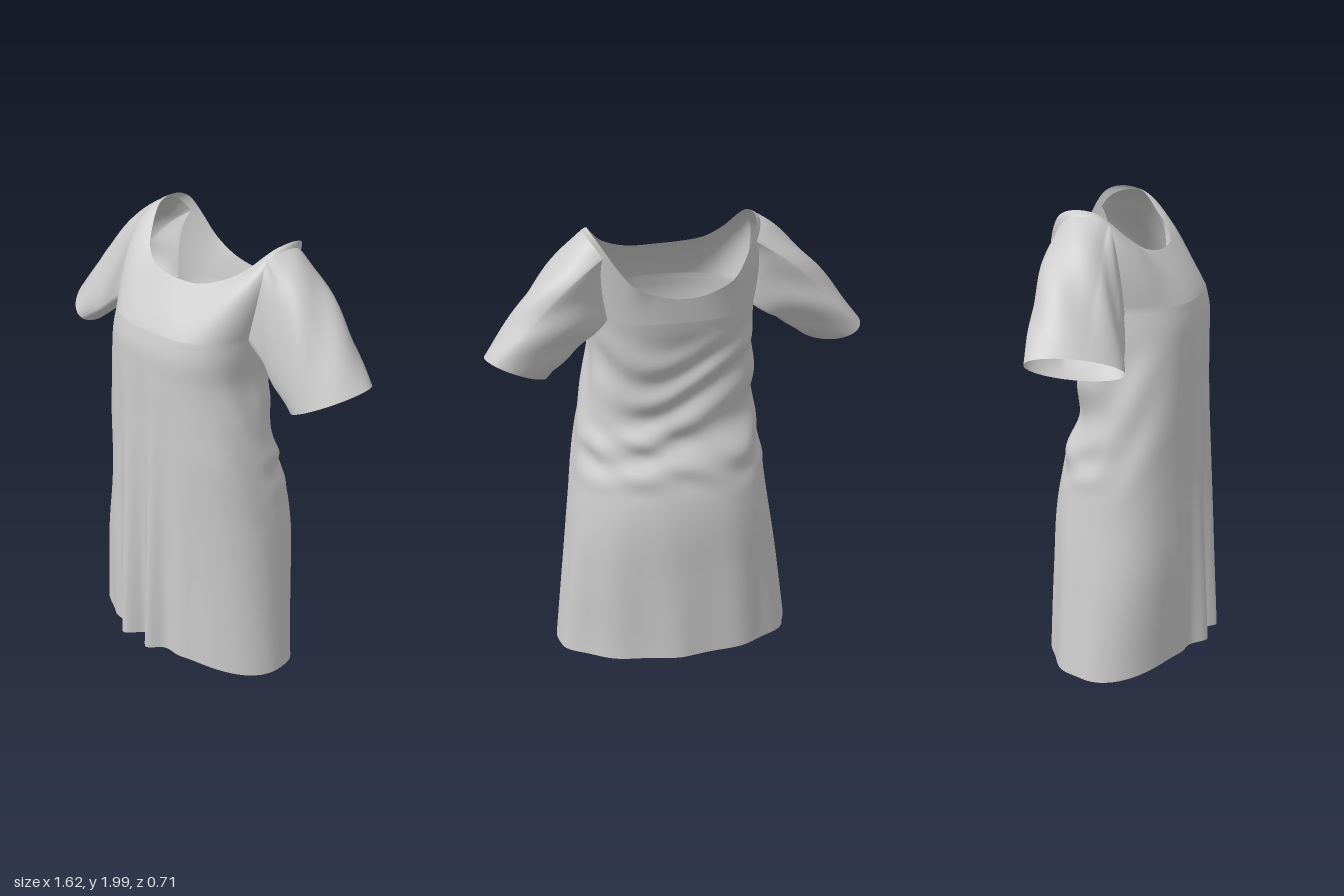
import * as THREE from 'three';

const N = 256;          // columns around the body, column 0 = centre front, growing towards +x
const ROWS = 90;        // rows from hem to chest
const YOKE = 32;        // rows from chest to neckline
const ARM = [59, 85];   // columns spanned by an armhole
const ARM_TOP = 27;     // yoke row at the top of an armhole
const CHEST = 1.6;

const bump = (x, c, w) => Math.exp(-(((x - c) / w) ** 2));
const smooth = THREE.MathUtils.smoothstep;
const lerp = THREE.MathUtils.lerp;
const spow = (v, p) => Math.sign(v) * Math.abs(v) ** p;

// Body outline by height: right edge, left edge, front, back
const heights = [0, 0.4, 0.7, 0.9, 1.05, 1.2, 1.4, 1.52, 1.6];
const outline = new THREE.CubicInterpolant(heights, [
  -0.56, 0.505, 0.29, -0.355,
  -0.505, 0.465, 0.29, -0.345,
  -0.455, 0.435, 0.29, -0.335,
  -0.43, 0.41, 0.29, -0.295,
  -0.41, 0.385, 0.29, -0.245,
  -0.395, 0.355, 0.29, -0.235,
  -0.375, 0.32, 0.295, -0.275,
  -0.368, 0.328, 0.293, -0.305,
  -0.365, 0.335, 0.275, -0.325,
], 4);

// Scooped neckline, rising to both shoulders
const neckline = new THREE.CatmullRomCurve3([
  [0, 1.797, 0.12], [0.11, 1.802, 0.108], [0.2, 1.83, 0.072], [0.28, 1.88, 0.01],
  [0.355, 1.97, -0.1], [0.35, 1.955, -0.25], [0.235, 1.79, -0.325], [0.12, 1.73, -0.338],
  [0, 1.71, -0.34], [-0.12, 1.73, -0.338], [-0.225, 1.795, -0.325], [-0.32, 1.97, -0.25],
  [-0.325, 1.985, -0.1], [-0.265, 1.88, 0.02], [-0.2, 1.825, 0.075], [-0.11, 1.802, 0.11],
].map(p => new THREE.Vector3(...p)), true, 'catmullrom');

// Point on the dress below the chest; s runs 0 (hem) to 1 (chest)
function skirtPoint(col, s) {
  const a = (col / N) * Math.PI * 2, sin = Math.sin(a), cos = Math.cos(a);
  const hem = cos > 0 ? lerp(0.01, 0.07, cos ** 2) : lerp(0.01, 0.03, cos ** 2);
  const y = lerp(hem, CHEST, s);
  const [xMin, xMax, zFront, zBack] = outline.evaluate(y);
  // Corner fullness differs a little between the four quarters
  const fullness = cos > 0 ? (sin > 0 ? 2.3 : 1.9) : (sin > 0 ? 1.75 : 2.2);
  const e = 2 / lerp(lerp(fullness, 2.25, smooth(y, 0, 0.6)), 2.6, smooth(y, 0.7, 1.55));
  const cx = (xMin + xMax) / 2, cz = (zFront + zBack) / 2;
  let x = cx + ((xMax - xMin) / 2) * spow(sin, e);
  let z = cz + ((zFront - zBack) / 2) * spow(cos, e);
  if (cos > 0) {
    // Hanging pleats at the front
    const hang = Math.max(0, 1 - y / 1.45);
    z += hang * (0.068 * bump(x, -0.13, 0.05) + 0.068 * bump(x, 0.03, 0.042)
      - 0.02 * bump(x, -0.05, 0.03) + 0.012 * bump(x, 0.17, 0.05) + 0.015 * bump(x, -0.26, 0.05));
  }
  // Gathered folds across the back of the waist
  const gather = smooth(y, 0.75, 1.0) * (1 - smooth(y, 1.35, 1.58)) * (1 - smooth(cos, -0.6, 0.1));
  const sag = y - 0.9 * x * x;
  const fold = 0.012 * Math.sin(31 * sag + 6 * x + 1.8 * Math.sin(8 * x + 5 * y))
    + 0.009 * Math.sin(21 * y - 17 * x + 2.5 * Math.sin(7 * y - 3 * x));
  // Slanting drape lines on the sides and soft waves near the hem
  const flank = bump(cos, 0.1, 0.4);
  const drape = 0.006 * flank * smooth(y, 0.7, 1.1) * (1 - smooth(y, 1.3, 1.55)) * Math.sin(30 * z - 16 * y);
  const wave = 0.006 * Math.sin(11 * a) * (1 - smooth(y, 0.1, 0.9)) * (1 - smooth(cos, -0.3, 0.2));
  const push = gather * fold + drape + wave;
  return new THREE.Vector3(x + sin * push, y, z + cos * push);
}

// Any body point by row: skirt rows, then a curved yoke up to the neckline
function bodyPoint(col, row) {
  const c = ((col % N) + N) % N;
  if (row <= ROWS) return skirtPoint(c, row / ROWS);
  const a = (c / N) * Math.PI * 2, side = Math.sin(a) ** 4, front = Math.max(0, Math.cos(a));
  const chest = skirtPoint(c, 1), neck = neckline.getPoint(c / N);
  const mid = chest.clone().lerp(neck, 0.5);
  mid.x += side * (Math.sin(a) > 0 ? 0.075 : -0.1);
  mid.y += side * 0.16 - 0.02 * front;
  mid.z += 0.04 * front + 0.03 * side;
  return new THREE.QuadraticBezierCurve3(chest, mid, neck).getPoint((row - ROWS) / YOKE);
}

// Mesh over a grid of closed rings
function loft(name, rings, flip, skip = () => false) {
  const n = rings[0].length, index = [];
  for (let r = 0; r < rings.length - 1; r++) {
    for (let c = 0; c < n; c++) {
      if (skip(r, c)) continue;
      const a = r * n + c, b = r * n + ((c + 1) % n), d = a + n, e = b + n;
      if (flip) index.push(a, d, b, b, d, e);
      else index.push(a, b, e, a, e, d);
    }
  }
  const geo = new THREE.BufferGeometry().setFromPoints(rings.flat());
  geo.setIndex(index);
  geo.computeVertexNormals();
  const mesh = new THREE.Mesh(geo,
    new THREE.MeshStandardMaterial({ color: 0xcccccc, side: THREE.DoubleSide }));
  mesh.name = name;
  return mesh;
}

// Sleeve lofted from the armhole edge to a tilted oval cuff
function sleeve(name, side, centre, up, front) {
  const [f, b] = ARM, edge = [];
  const at = (col, row) => bodyPoint(side * col, ROWS + row);
  for (let i = 0; i < ARM_TOP; i++) edge.push(at(f, i));
  for (let c = f; c < b; c++) edge.push(at(c, ARM_TOP));
  for (let i = ARM_TOP; i > 0; i--) edge.push(at(b, i));
  for (let c = b; c > f; c--) edge.push(at(c, 0));

  const rings = [], steps = 36;
  for (let k = 0; k <= steps; k++) {
    const t = k / steps, swell = Math.sin(Math.PI * t ** 0.8);
    rings.push(edge.map((p, i) => {
      const phi = ((i - ARM_TOP / 2) / edge.length) * Math.PI * 2;
      const cos = Math.cos(phi), sin = Math.sin(phi);
      const cuff = centre.clone().addScaledVector(front, cos).addScaledVector(up, sin);
      const q = p.clone().lerp(cuff, t);
      // Rounded shoulder and drag wrinkles
      const lift = 0.032 * swell * Math.max(0, sin);
      const crease = 0.006 * swell * Math.sin(5 * phi + 9 * t);
      q.x += side * (lift * 0.6 + crease * sin * 0.7);
      q.y += lift * 0.8 + crease * sin * 0.7;
      q.z += cos * crease - 0.03 * swell * Math.max(0, -cos);
      return q;
    }));
  }
  return loft(name, rings, side > 0);
}

export function createModel() {
  const dress = new THREE.Group();
  dress.name = 'dress';

  // Body with both armholes left open
  const rings = [];
  for (let r = 0; r <= ROWS + YOKE; r++) {
    rings.push(Array.from({ length: N }, (_, c) => bodyPoint(c, r)));
  }
  const inArmhole = c => c >= ARM[0] && c < ARM[1];
  dress.add(loft('dressBody', rings, false, (r, c) =>
    r >= ROWS && r < ROWS + ARM_TOP && (inArmhole(c) || inArmhole(N - 1 - c))));

  // Sleeves hang slightly differently on each side
  const v = (x, y, z) => new THREE.Vector3(x, y, z);
  dress.add(sleeve('leftSleeve', 1, v(0.668, 1.40, -0.11), v(0.137, 0.07, -0.03), v(-0.02, -0.02, 0.14)));
  dress.add(sleeve('rightSleeve', -1, v(-0.715, 1.435, -0.07), v(-0.09, 0.065, -0.08), v(0.03, 0.01, 0.17)));
  return dress;
}
